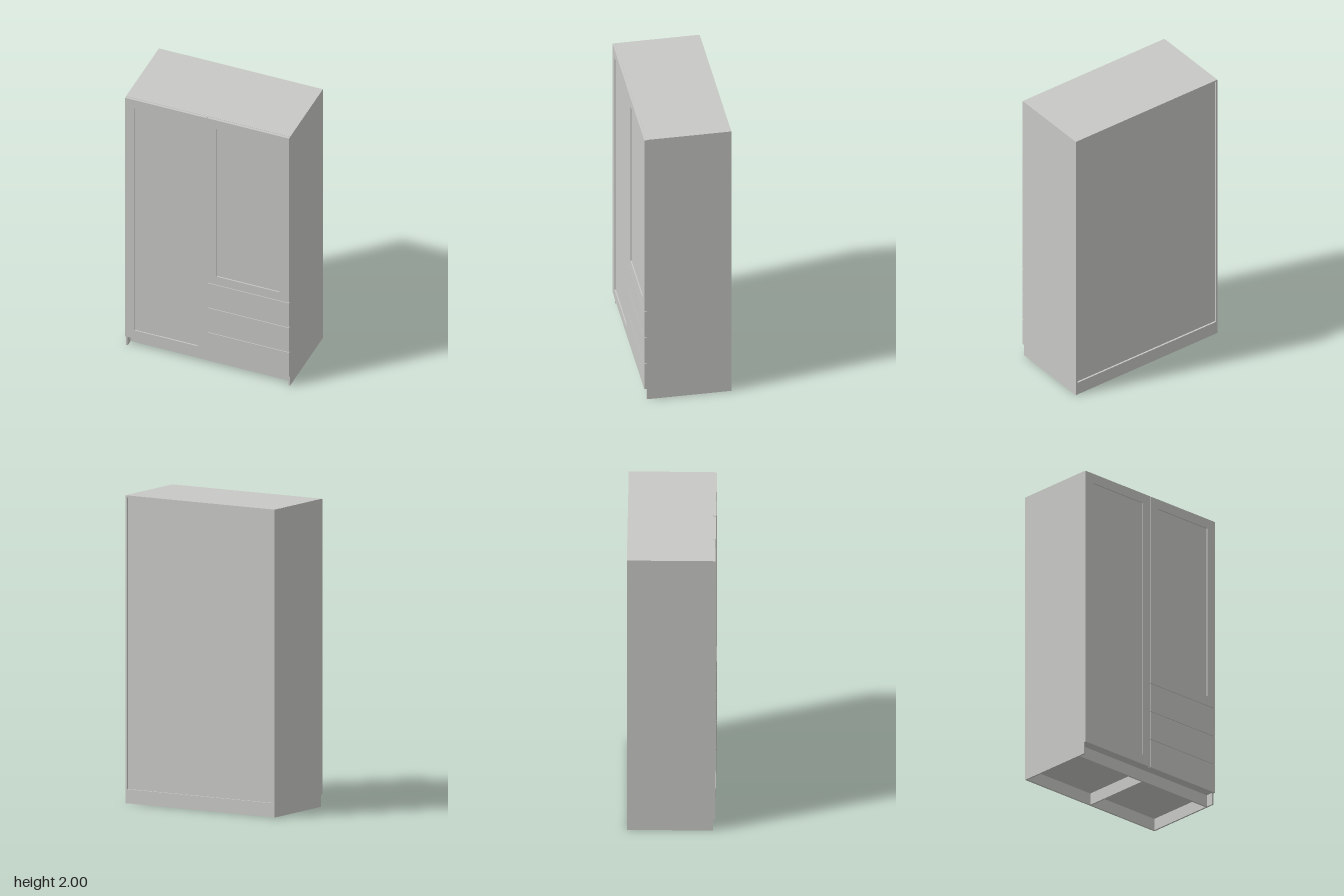
import * as THREE from 'three';

export function createModel() {
  const wardrobe = new THREE.Group();
  wardrobe.name = 'wardrobe';
  const grey = new THREE.MeshStandardMaterial({ color: 0xc8c8c6 });
  grey.name = 'light grey laminate';

  const W = 0.57, BACK = -0.284, BODY = 0.268, FRONT = 0.284; // half width and depth planes
  const T = 0.012, BASE = 0.08, GAP = 0.002, H = 2;

  // Board given by its opposite corners
  function board(name, x0, x1, y0, y1, z0, z1) {
    const mesh = new THREE.Mesh(new THREE.BoxGeometry(x1 - x0, y1 - y0, z1 - z0), grey);
    mesh.position.set((x0 + x1) / 2, (y0 + y1) / 2, (z0 + z1) / 2);
    mesh.name = name;
    wardrobe.add(mesh);
  }

  // Carcass
  const inner = W - T;
  board('rightSide', -W, -inner, 0, H, BACK, BODY);
  board('leftSide', inner, W, 0, H, BACK, BODY);
  board('topPanel', -inner, inner, H - T, H, BACK, BODY);
  board('bottomPanel', -inner, inner, BASE, BASE + T, BACK, BODY);
  board('backPanel', -inner, inner, BASE + T, H - T, BACK + T, BACK + T + 0.006);
  board('centreDivider', -T / 2, T / 2, BASE + T, H - T, BACK + T + 0.006, BODY);

  // Plinth
  board('frontPlinth', -inner, inner, 0, BASE, 0.208, 0.22);
  board('backPlinth', -inner, inner, 0, BASE, BACK, BACK + T);
  board('plinthDivider', -T / 2, T / 2, 0, BASE, BACK + T, 0.208);

  // Framed door with a shallow sunken panel
  function door(name, x0, x1, y0, y1) {
    const m = 0.066, sink = 0.008;
    const rect = (Type, a, b, c, d) =>
      new Type().moveTo(a, c).lineTo(b, c).lineTo(b, d).lineTo(a, d).closePath();
    const shape = rect(THREE.Shape, x0, x1, y0, y1);
    shape.holes.push(rect(THREE.Path, x0 + m, x1 - m, y0 + m, y1 - m));
    const geo = new THREE.ExtrudeGeometry(shape, { depth: FRONT - BODY, bevelEnabled: false });
    const frame = new THREE.Mesh(geo, grey);
    frame.position.z = BODY;
    frame.name = name + 'Frame';
    wardrobe.add(frame);
    board(name + 'Panel', x0 + m, x1 - m, y0 + m, y1 - m, BODY, FRONT - sink);
  }
  door('rightDoor', -W, -GAP / 2, BASE, H - GAP);
  door('leftDoor', GAP / 2, W, 0.677, H - GAP);

  // Drawer fronts below the short door
  const splits = [BASE, 0.278, 0.476, 0.675];
  for (let i = 0; i < 3; i++) {
    const bottom = splits[i] + (i ? 0.002 : 0);
    const top = splits[i + 1] - 0.002;
    board('drawerFront' + (i + 1), GAP / 2, W, bottom, top, BODY, FRONT);
  }

  return wardrobe;
}
